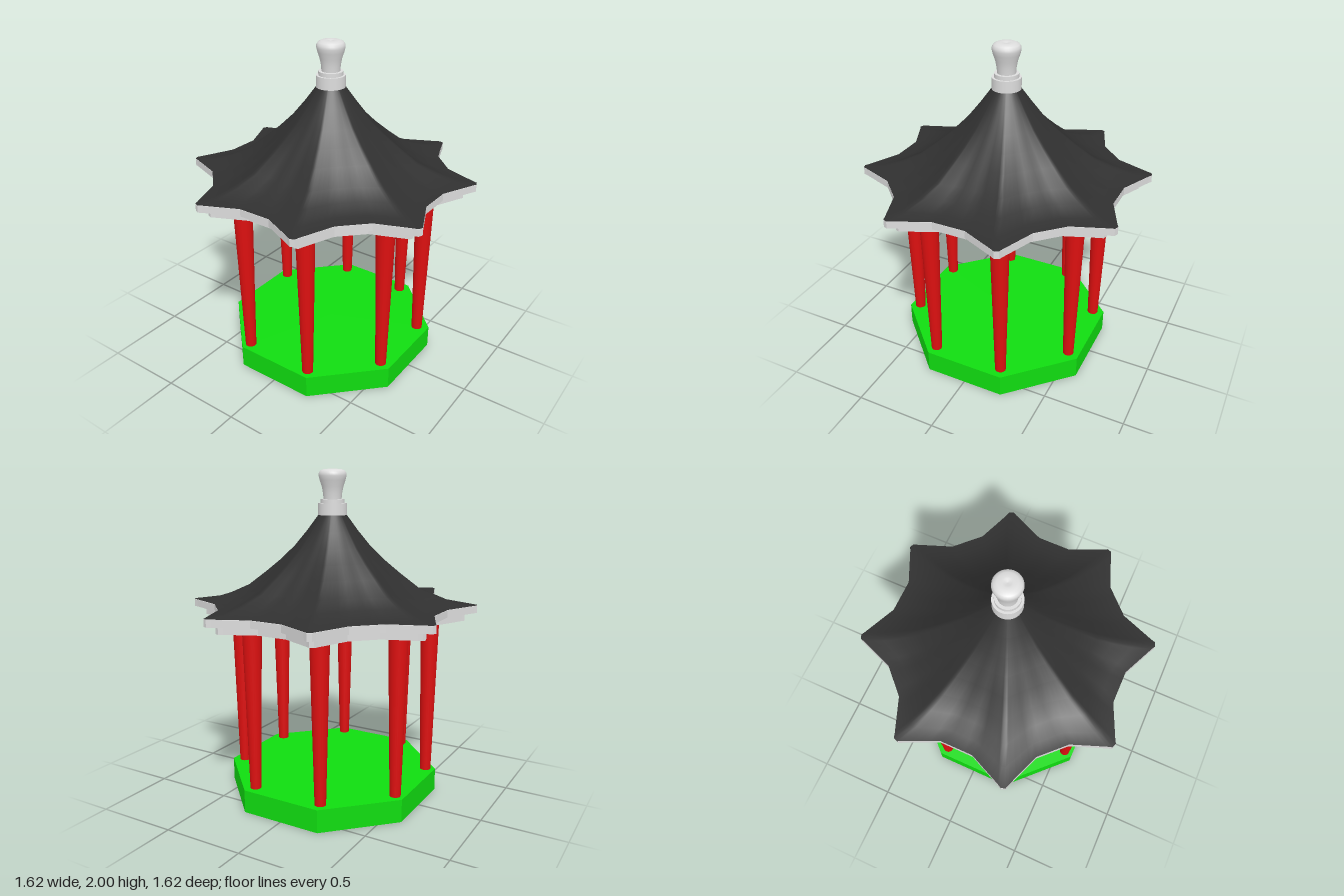
import * as THREE from 'three';

const paint = (name, color) => Object.assign(new THREE.MeshStandardMaterial({ color }), { name });

// Eight-pointed eave outline: flat valleys and rounded tips, as [angle, radius] per sector
function eaveOutline() {
  const sector = [[-8.02, 0.717], [8.02, 0.717], [20.4, 0.852], [21.6, 0.873], [23.4, 0.873], [24.6, 0.852]];
  const pts = [];
  for (let k = 0; k < 8; k++) {
    for (const [deg, r] of sector) {
      const a = THREE.MathUtils.degToRad(deg + k * 45);
      pts.push(new THREE.Vector2(r * Math.sin(a), r * Math.cos(a)));
    }
  }
  return pts;
}

// Flat star-shaped slab from y0 to y1
function slab(outline, scale, y0, y1) {
  const shape = new THREE.Shape(outline.map(p => p.clone().multiplyScalar(scale)));
  const geo = new THREE.ExtrudeGeometry(shape, { depth: y1 - y0, bevelEnabled: false });
  return geo.rotateX(-Math.PI / 2).translate(0, y0, 0);
}

// Swept roof: the star outline blends into a circle as it rises
function roofGeometry(outline) {
  const levels = [[1.205, 0.812], [1.212, 0.71], [1.25, 0.605], [1.303, 0.5], [1.39, 0.395],
    [1.465, 0.31], [1.547, 0.228], [1.64, 0.153], [1.735, 0.083]];
  const ring = [];
  outline.forEach((p, i) => {
    const q = outline[(i + 1) % outline.length];
    const n = p.distanceTo(q) > 0.1 ? 4 : 1;
    for (let s = 0; s < n; s++) ring.push(p.clone().lerp(q, s / n));
  });
  const n = ring.length, pos = [], index = [];
  levels.forEach(([y, w], j) => {
    const blend = (w - 0.083) / (0.812 - 0.083);
    for (const p of ring) {
      const star = w / 0.812;
      const circle = w / p.length();
      const k = THREE.MathUtils.lerp(circle, star, blend);
      pos.push(p.x * k, y, p.y * k);
    }
    if (j === 0) return;
    for (let i = 0; i < n; i++) {
      const a = (j - 1) * n + i, b = (j - 1) * n + (i + 1) % n;
      index.push(a, b, b + n, a, b + n, a + n);
    }
  });
  const geo = new THREE.BufferGeometry();
  geo.setAttribute('position', new THREE.Float32BufferAttribute(pos, 3));
  geo.setIndex(index);
  geo.computeVertexNormals();
  return geo;
}

export function createModel() {
  const green = paint('green base', 0x10dd10);
  const red = paint('red column', 0xdd1010);
  const black = paint('black roof', 0x303030);
  const grey = paint('light grey trim', 0xdddddd);

  const model = new THREE.Group();
  model.name = 'pavilion';
  const add = (name, geo, mat, parent = model) => {
    const mesh = new THREE.Mesh(geo, mat);
    mesh.name = name;
    parent.add(mesh);
    return mesh;
  };

  // Octagonal base with a flat side to the front
  const base = new THREE.CylinderGeometry(0.658, 0.658, 0.14, 8).rotateY(Math.PI / 8).translate(0, 0.07, 0);
  const flatBase = base.toNonIndexed();
  flatBase.computeVertexNormals();
  add('base', flatBase, green);

  // Eight columns, wider at the top, over the corners of the base
  const columns = new THREE.Group();
  columns.name = 'columns';
  columns.position.set(-0.006, 0, 0.006);
  model.add(columns);
  const columnGeo = new THREE.CylinderGeometry(0.057, 0.033, 0.98, 24);
  for (let i = 0; i < 8; i++) {
    const a = (i + 0.5) * Math.PI / 4;
    add('column', columnGeo, red, columns).position.set(0.588 * Math.sin(a), 0.63, 0.588 * Math.cos(a));
  }

  // Two-step eaves and the roof
  const outline = eaveOutline();
  add('lowerEave', slab(outline, 0.918, 1.11, 1.16), grey);
  add('upperEave', slab(outline, 1, 1.16, 1.203), grey);
  add('roof', roofGeometry(outline), black);

  // Finial: two collars and a vase-shaped knob
  const finial = new THREE.Group();
  finial.name = 'finial';
  model.add(finial);
  add('collar', new THREE.CylinderGeometry(0.086, 0.086, 0.07, 32).translate(0, 1.767, 0), grey, finial);
  add('upperCollar', new THREE.CylinderGeometry(0.072, 0.072, 0.024, 32).translate(0, 1.813, 0), grey, finial);
  const knob = [[0.054, 1.824], [0.057, 1.86], [0.065, 1.9], [0.077, 1.935], [0.083, 1.96], [0.082, 1.976],
    [0.073, 1.99], [0.055, 1.998], [0.03, 2], [0.02, 1.998], [0, 1.994]];
  add('knob', new THREE.LatheGeometry(knob.map(([r, y]) => new THREE.Vector2(r, y)), 32), grey, finial);

  return model;
}
